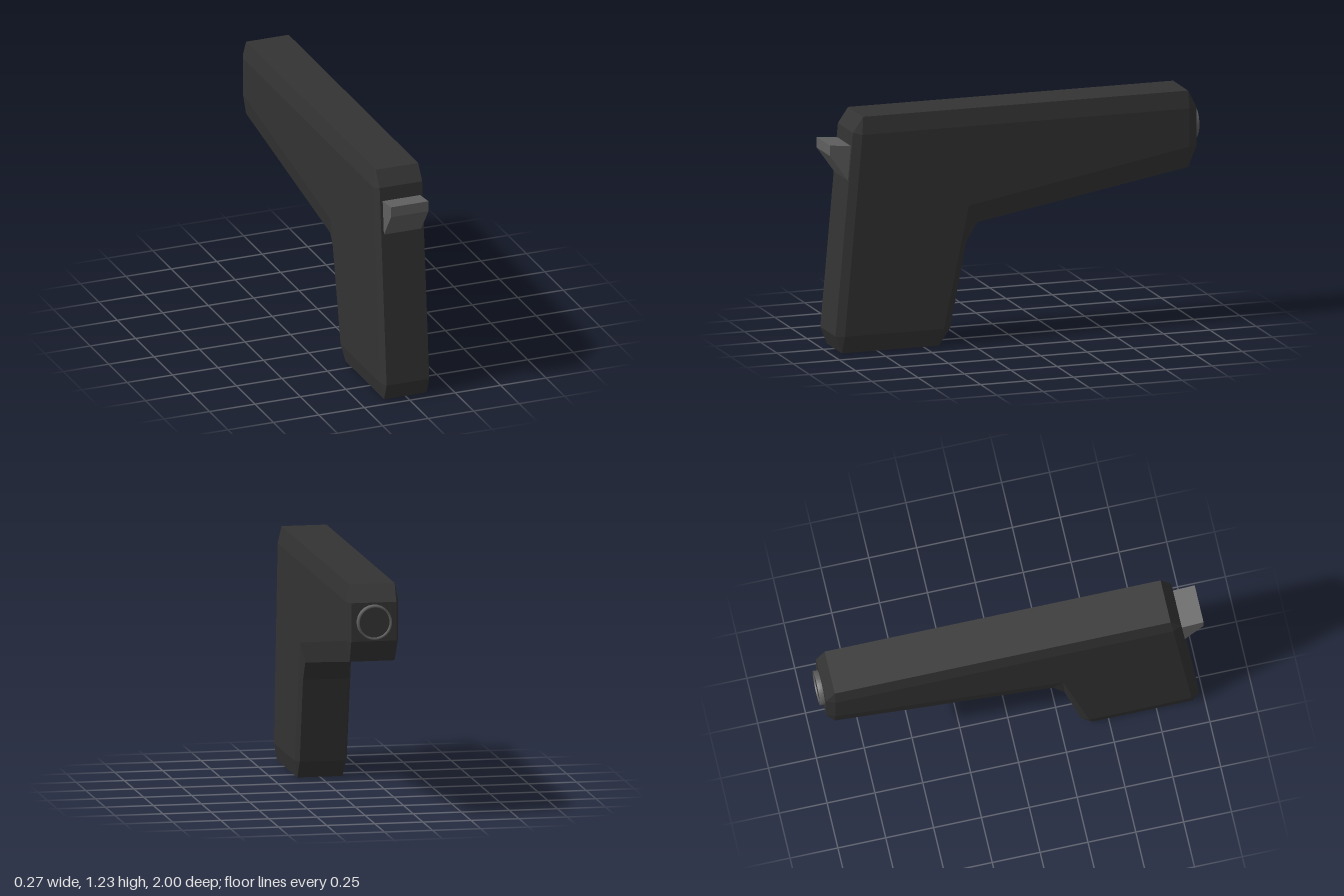
import * as THREE from 'three';

const material = (color) => new THREE.MeshStandardMaterial({ color, flatShading: true });

// Side outline in [z, y]: two chamfer points for each of the six corners
const RIM = [
  [0.94, 0], [0.975, 0.09],
  [0.88, 1.15], [0.825, 1.23],
  [-0.93, 1.23], [-0.975, 1.14],
  [-0.975, 0.94], [-0.93, 0.83],
  [0.21, 0.63], [0.27, 0.53],
  [0.355, 0.09], [0.415, 0],
];
// Corners of the flat side faces, one for each pair of rim points
const FLAT = [[0.93, 0.09], [0.835, 1.14], [-0.93, 1.14], [-0.93, 0.94], [0.26, 0.725], [0.395, 0.09]];
const RIM_X = 0.117, FLAT_X = 0.135;

// Chamfered body: flat sides, sloped bevels and a band round the outline
function bodyGeometry() {
  const pos = [];
  const rim = (i, s) => [s * RIM_X, RIM[i][1], RIM[i][0]];
  const flat = (i, s) => [s * FLAT_X, FLAT[i][1], FLAT[i][0]];
  const tri = (a, b, c) => pos.push(...a, ...b, ...c);
  const sided = (s, a, b, c) => (s > 0 ? tri(a, b, c) : tri(a, c, b));

  const faces = THREE.ShapeUtils.triangulateShape(FLAT.map(([z, y]) => new THREE.Vector2(z, y)), []);
  for (const s of [1, -1]) {
    for (const [a, b, c] of faces) sided(s, flat(a, s), flat(c, s), flat(b, s));
  }
  for (let i = 0; i < RIM.length; i++) {
    const j = (i + 1) % RIM.length;
    const p = i >> 1, q = j >> 1;
    tri(rim(i, 1), rim(j, 1), rim(j, -1));
    tri(rim(i, 1), rim(j, -1), rim(i, -1));
    for (const s of [1, -1]) {
      sided(s, rim(j, s), rim(i, s), flat(p, s));
      if (p !== q) sided(s, rim(j, s), flat(p, s), flat(q, s));
    }
  }
  const geometry = new THREE.BufferGeometry();
  geometry.setAttribute('position', new THREE.Float32BufferAttribute(pos, 3));
  geometry.computeVertexNormals();
  return geometry;
}

export function createModel() {
  const group = new THREE.Group();
  const add = (name, geometry, mat) => {
    const mesh = new THREE.Mesh(geometry, mat);
    mesh.name = name;
    group.add(mesh);
    return mesh;
  };
  const dark = material(0x333333);
  const grey = material(0x606060);

  add('body', bodyGeometry(), dark);

  // Wedge-shaped lug on the front
  const wedge = new THREE.Shape([[0.85, 0.9], [0.9, 0.895], [1, 1.035], [1, 1.09], [0.85, 1.075]]
    .map(([z, y]) => new THREE.Vector2(z, y)));
  const lug = new THREE.ExtrudeGeometry(wedge, { depth: 0.206, bevelEnabled: false });
  lug.translate(0, 0, -0.103).rotateY(-Math.PI / 2);
  add('frontLug', lug, grey);

  // Ring with a slightly recessed disc at the far end
  const ringProfile = [[0.078, -0.02], [0.09, -0.02], [0.09, 0.025], [0.078, 0.025], [0.078, -0.02]]
    .map(([r, y]) => new THREE.Vector2(r, y));
  const ring = new THREE.LatheGeometry(ringProfile, 32);
  ring.rotateX(-Math.PI / 2);
  const ringMaterial = new THREE.MeshStandardMaterial({ color: 0x606060 });
  add('endRing', ring, ringMaterial).position.set(0, 1.04, -0.975);

  const disc = new THREE.CylinderGeometry(0.08, 0.08, 0.04, 32);
  disc.rotateX(Math.PI / 2);
  add('endDisc', disc, dark).position.set(0, 1.04, -0.973);

  return group;
}
